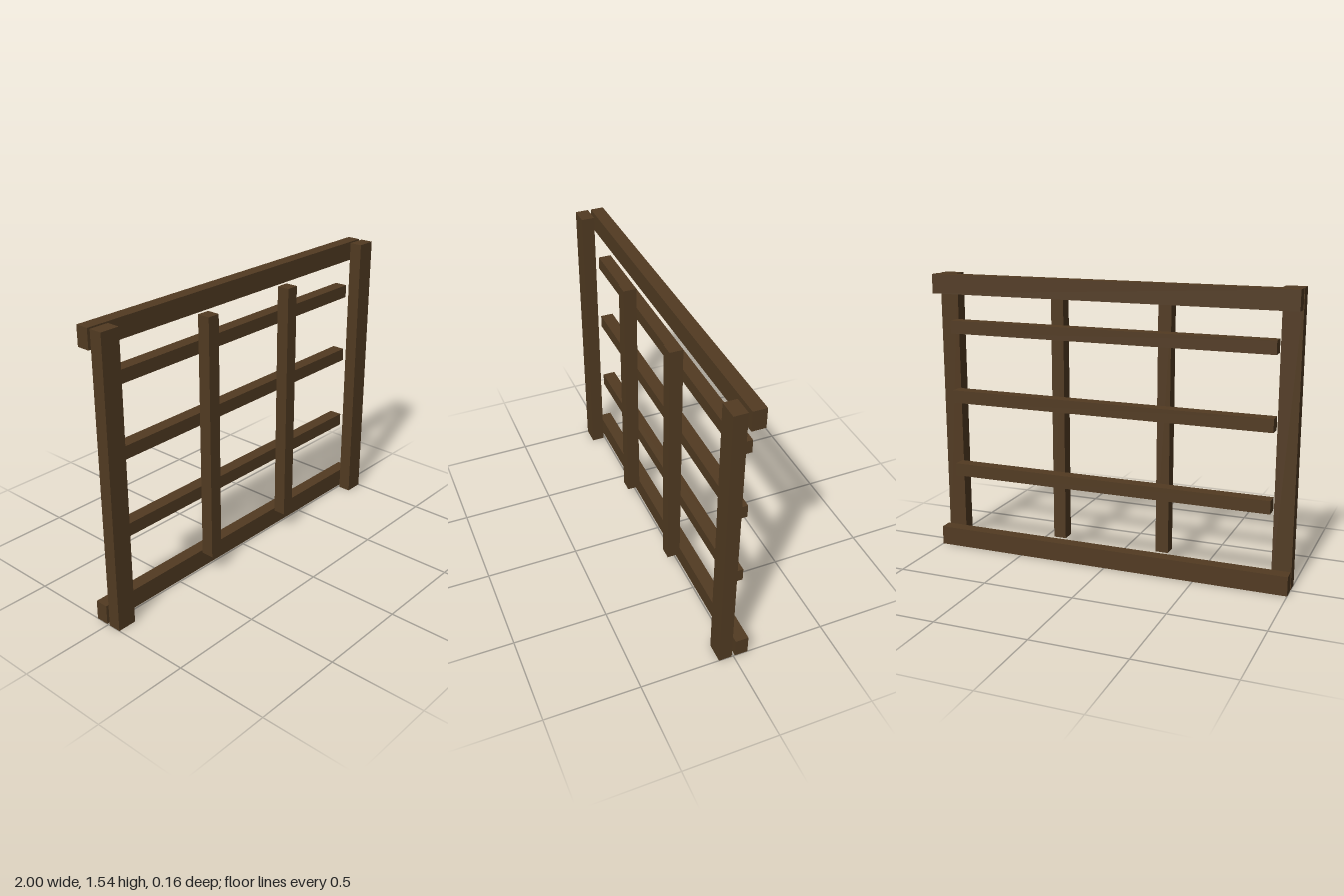
import * as THREE from 'three';

const H = 1.545;      // overall height
const WIDE = 0.104;   // frame timber width
const THIN = 0.07;    // slat width and timber depth
const Z = 0.044;      // offset of the front and back layers

export function createModel() {
  const model = new THREE.Group();
  model.name = 'latticeFrame';
  const wood = new THREE.MeshStandardMaterial({ color: 0x523b22 });
  wood.name = 'darkWood';

  const beam = (name, w, h, x, y, z) => {
    const mesh = new THREE.Mesh(new THREE.BoxGeometry(w, h, THIN), wood);
    mesh.name = name;
    mesh.position.set(x, y, z);
    model.add(mesh);
  };

  // Front layer: outer posts and inner uprights
  for (const [side, s] of [['left', 1], ['right', -1]]) {
    beam(side + 'Post', WIDE, H, s * (1 - WIDE / 2), H / 2, Z);
    beam(side + 'Upright', THIN, H - 2 * WIDE, s * 0.299, H / 2, Z);
  }

  // Back layer: full-width rails and shorter crossbars
  beam('bottomRail', 2, WIDE, 0, WIDE / 2, -Z);
  beam('topRail', 2, WIDE, 0, H - WIDE / 2, -Z);
  [0.458, 0.877, 1.263].forEach((y, i) => {
    beam('crossbar' + (i + 1), 2 - 2 * WIDE, THIN, 0, y, -Z);
  });

  return model;
}
